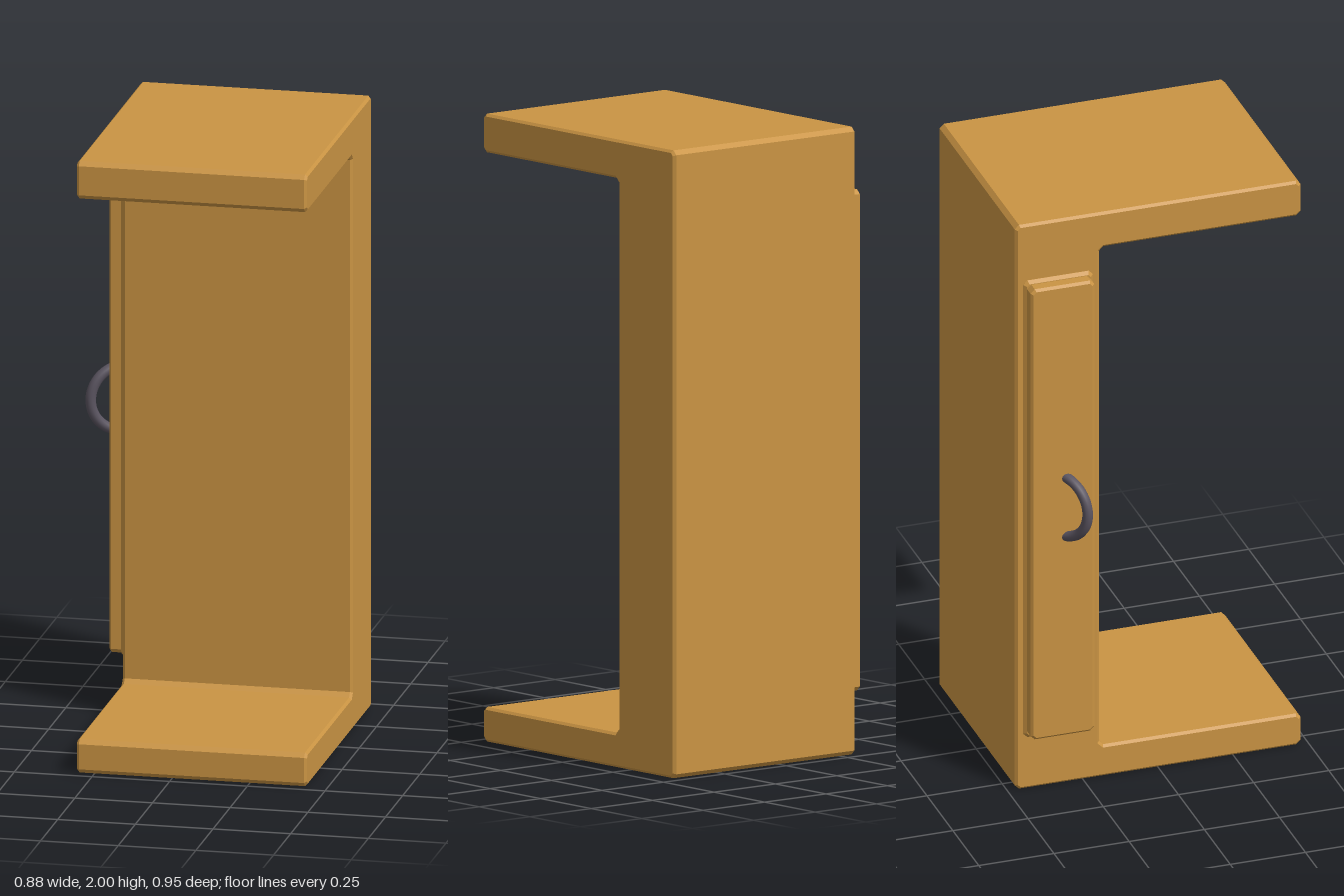
import * as THREE from 'three';

// Corner-cut outline: every corner of the polygon is replaced by a short chamfer.
function chamferedOutline(corners, cut) {
  const pts = [];
  corners.forEach((c, i) => {
    const p = new THREE.Vector2(...c);
    for (const k of [i + corners.length - 1, i + 1]) {
      const dir = new THREE.Vector2(...corners[k % corners.length]).sub(p).normalize();
      pts.push(p.clone().addScaledVector(dir, cut));
    }
  });
  return new THREE.Shape(pts);
}

// Bevelled prism: outline in (z, y), running along x between x0 and x1.
function prism(corners, x0, x1, bevel, cut) {
  const geo = new THREE.ExtrudeGeometry(chamferedOutline(corners, cut), {
    depth: x1 - x0 - 2 * bevel,
    bevelEnabled: true,
    bevelThickness: bevel,
    bevelSize: bevel,
    bevelOffset: -bevel,
    bevelSegments: 1,
  });
  geo.translate(0, 0, bevel);
  geo.rotateY(-Math.PI / 2);
  geo.translate(x1, 0, 0);
  return geo;
}

const rect = (z0, z1, y0, y1) => [[z0, y0], [z1, y0], [z1, y1], [z0, y1]];

export function createModel() {
  const group = new THREE.Group();
  const wood = new THREE.MeshStandardMaterial({ color: 0xca9443 });
  wood.name = 'warm wood';
  const metal = new THREE.MeshStandardMaterial({ color: 0x5a5460 });
  metal.name = 'dark metal';

  const add = (name, geometry, material) => {
    const mesh = new THREE.Mesh(geometry, material);
    mesh.name = name;
    group.add(mesh);
    return mesh;
  };

  // C-shaped body: back column with a floor slab and a roof slab
  const body = [
    [-0.475, 0], [0.475, 0], [0.475, 0.11], [-0.195, 0.11],
    [-0.195, 1.877], [0.475, 1.877], [0.475, 2], [-0.475, 2],
  ];
  add('body', prism(body, -0.306, 0.435, 0.008, 0.014), wood);

  // Raised side door with a flared foot where it meets the column
  add('doorFlare', prism(rect(-0.45, -0.218, 0.183, 1.803), -0.317, -0.295, 0.01, 0.014), wood);
  add('door', prism(rect(-0.44, -0.228, 0.194, 1.791), -0.357, -0.3, 0.008, 0.014), wood);

  // Ring handle, swung partly towards the front; its inner half is sunk in the door
  const handle = add('handle', new THREE.TorusGeometry(0.105, 0.017, 12, 32, Math.PI), metal);
  handle.geometry.rotateZ(Math.PI / 2);
  handle.rotation.y = 0.55;
  handle.position.set(-0.336, 1.003, -0.331);

  return group;
}
